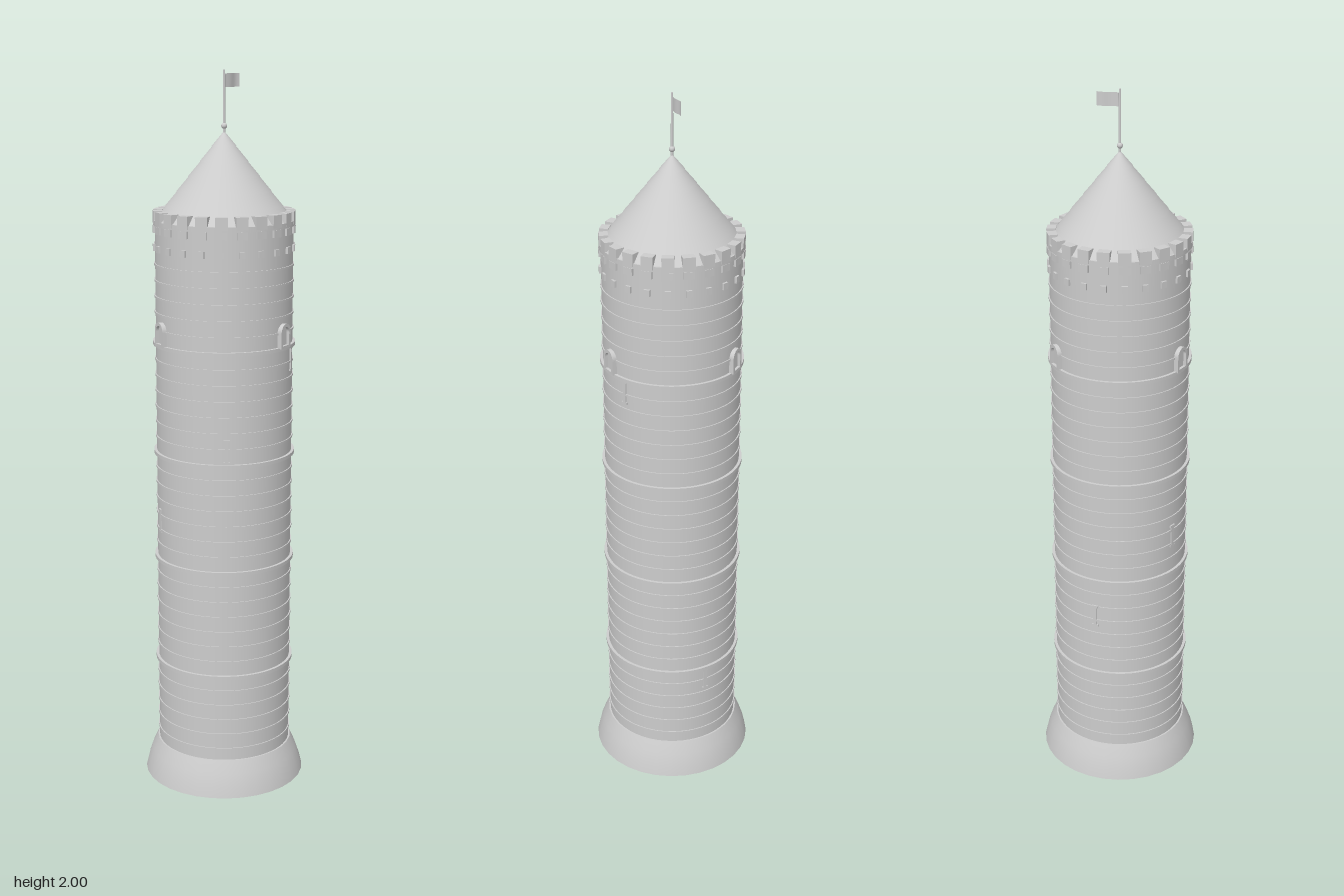
import * as THREE from 'three';

const stone = new THREE.MeshStandardMaterial({ color: 0xcccccc });
stone.name = 'stone';
const cloth = stone.clone();
cloth.name = 'cloth';
cloth.side = THREE.DoubleSide;

const V = (x, y) => new THREE.Vector2(x, y);
const DEG = Math.PI / 180;

export function createModel() {
  const tower = new THREE.Group();
  tower.name = 'tower';

  const add = (name, geometry, y = 0, parent = tower, material = stone) => {
    const mesh = new THREE.Mesh(geometry, material);
    mesh.name = name;
    mesh.position.y = y;
    parent.add(mesh);
    return mesh;
  };
  // Group turned so that its +z points outwards at the given angle from the front
  const spoke = (name, angle) => {
    const group = new THREE.Group();
    group.name = name;
    group.rotation.y = angle;
    tower.add(group);
    return group;
  };

  // Flared foot
  add('footing', new THREE.LatheGeometry(
    [V(0.228, 0), V(0.221, 0.03), V(0.209, 0.065), V(0.193, 0.1)], 32));
  add('footingTop', new THREE.CylinderGeometry(0.193, 0.193, 0.002, 32), 0.099);
  add('footingUnderside', new THREE.CircleGeometry(0.228, 32).rotateX(Math.PI / 2));

  // Shaft
  add('shaft', new THREE.CylinderGeometry(0.188, 0.188, 1.51, 64), 0.845);

  // Thin stone courses and four stronger bands
  for (let y = 0.133; y < 1.52; y += 0.0436) {
    add('course', new THREE.CylinderGeometry(0.191, 0.191, 0.006, 64), y);
  }
  for (const y of [0.35, 0.655, 0.96, 1.268]) {
    add('band', new THREE.CylinderGeometry(0.196, 0.196, 0.01, 64), y);
  }

  // Parapet ring carried on corbels
  add('parapet', new THREE.CylinderGeometry(0.193, 0.193, 0.014, 64), 1.598);
  const count = 22;
  for (let i = 0; i < count; i++) {
    const group = spoke('parapetBay', (i / count) * Math.PI * 2);
    add('merlon', new THREE.BoxGeometry(0.033, 0.034, 0.025), 1.613, group).position.z = 0.1805;
    add('upperCorbel', new THREE.BoxGeometry(0.028, 0.02, 0.02), 1.581, group).position.z = 0.184;
    add('lowerCorbel', new THREE.BoxGeometry(0.016, 0.018, 0.02), 1.531, group).position.z = 0.184;
  }

  // Conical roof with slightly overlapping shingle rows
  const eave = 1.6, apex = 1.84, rows = 6, eaveRadius = 0.19;
  for (let i = 0; i < rows; i++) {
    const a = i / rows, b = (i + 1) / rows;
    add('roofRow', new THREE.CylinderGeometry(
      eaveRadius * (1 - b), eaveRadius * (1 - a) + 0.002,
      (apex - eave) / rows, 64), eave + (apex - eave) * (a + b) / 2);
  }

  // Arched windows: raised frame around a pane
  const arch = (w, h) => {
    const r = w / 2;
    const shape = new THREE.Shape();
    shape.moveTo(-r, 0);
    shape.lineTo(r, 0);
    shape.lineTo(r, h - r);
    shape.absarc(0, h - r, r, 0, Math.PI, false);
    shape.closePath();
    return shape;
  };
  const frame = arch(0.048, 0.066);
  const opening = new THREE.Path(arch(0.032, 0.05).getPoints(10).map((p) => V(p.x, p.y + 0.007)));
  frame.holes.push(opening);
  for (const angle of [10, 130, 250]) {
    const group = spoke('window', angle * DEG);
    add('windowFrame', new THREE.ExtrudeGeometry(frame,
      { depth: 0.013, bevelEnabled: false, curveSegments: 10 }), 1.27, group).position.z = 0.186;
    add('windowPane', new THREE.ExtrudeGeometry(arch(0.034, 0.054),
      { depth: 0.005, bevelEnabled: false, curveSegments: 10 }), 1.275, group).position.z = 0.186;
  }

  // Arrow slits winding down the shaft
  for (let i = 0; i < 5; i++) {
    const group = spoke('arrowSlit', (27 - 72 * i) * DEG);
    const y = 1.23 - 0.23 * i;
    add('slit', new THREE.BoxGeometry(0.01, 0.066, 0.008), y, group).position.z = 0.188;
    for (const s of [-1, 1]) {
      add('slitEnd', new THREE.BoxGeometry(0.018, 0.006, 0.008), y + s * 0.031, group).position.z = 0.188;
    }
  }

  // Finial, pole and waving flag
  add('finial', new THREE.SphereGeometry(0.008, 16, 12), 1.853);
  add('flagPole', new THREE.CylinderGeometry(0.003, 0.0035, 0.17, 12), 1.915);
  const flag = new THREE.PlaneGeometry(0.058, 0.036, 16, 1).translate(0.032, 0, 0);
  const p = flag.attributes.position;
  for (let i = 0; i < p.count; i++) {
    const t = p.getX(i) / 0.061;
    p.setZ(i, 0.004 * Math.sin(t * Math.PI * 2) * t);
  }
  flag.computeVertexNormals();
  add('flag', flag, 1.972, tower, cloth);

  return tower;
}
